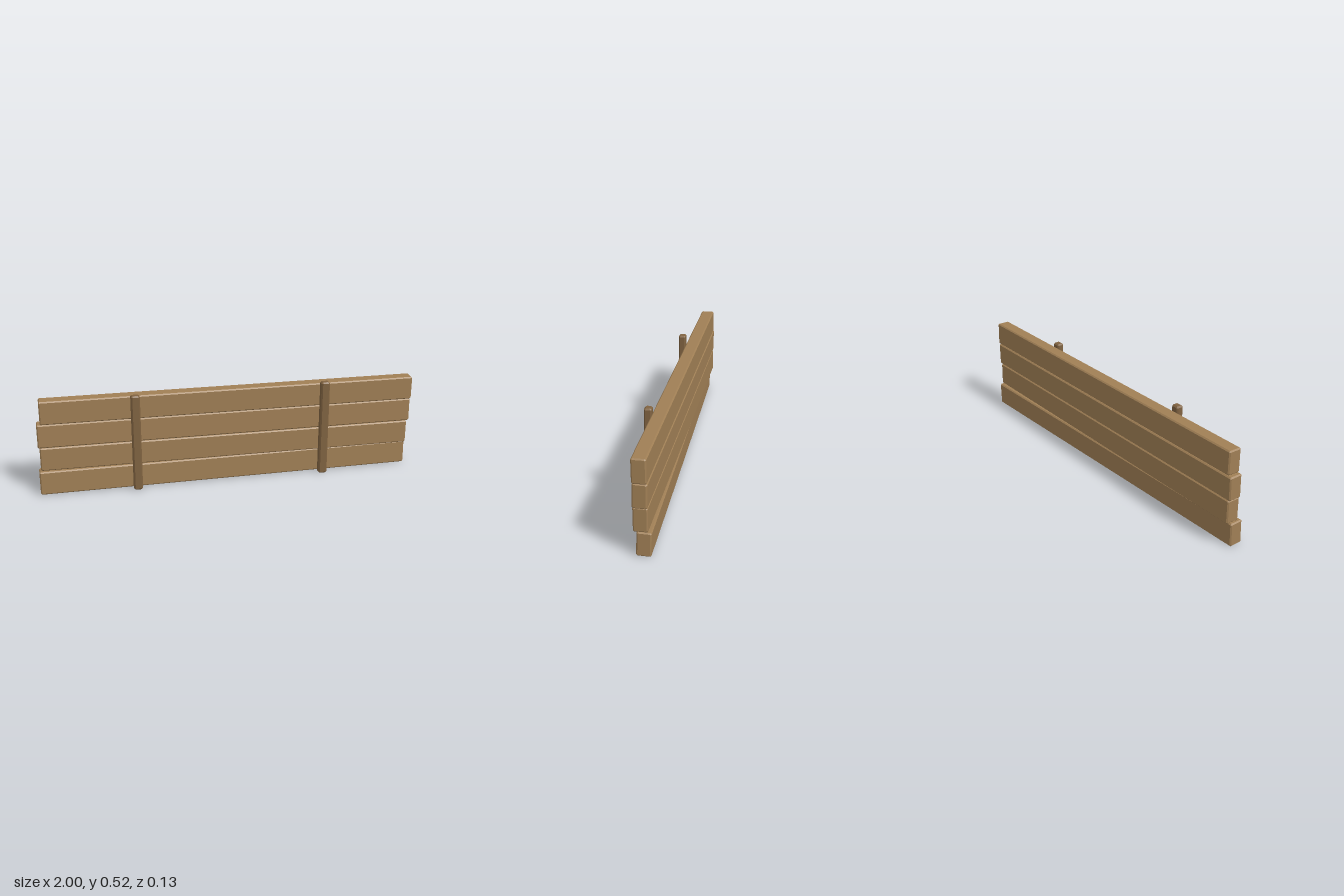
import * as THREE from 'three';

// Timber with chamfered edges, its length along z, centred on the origin
function timber(w, h, length, c) {
  const x = w / 2, y = h / 2;
  const shape = new THREE.Shape([
    [x - c, -y], [x, -y + c], [x, y - c], [x - c, y],
    [-x + c, y], [-x, y - c], [-x, -y + c], [-x + c, -y],
  ].map(([px, py]) => new THREE.Vector2(px, py)));
  const geometry = new THREE.ExtrudeGeometry(shape, {
    depth: length - 2 * c, bevelEnabled: true, bevelSegments: 1,
    bevelThickness: c, bevelSize: c, bevelOffset: -c,
  });
  return geometry.translate(0, 0, c - length / 2);
}

export function createModel() {
  const group = new THREE.Group();
  const plankWood = new THREE.MeshStandardMaterial({ color: 0xa07f55, flatShading: true });
  const battenWood = new THREE.MeshStandardMaterial({ color: 0x806341, flatShading: true });

  // Four stacked planks, each slightly shifted and skewed: [x0, x1, y, z, yaw, tilt]
  const planks = [
    [-1.0, 0.98, 0.066, -0.015, 0.005, -0.025],
    [-0.99, 0.98, 0.191, -0.0175, -0.0125, 0.008],
    [-0.998, 0.992, 0.316, -0.0182, -0.0125, -0.015],
    [-0.98, 0.997, 0.441, -0.0172, -0.0125, 0.012],
  ];
  planks.forEach(([x0, x1, y, z, yaw, tilt], i) => {
    const geometry = timber(0.07, 0.124, x1 - x0, 0.006).rotateY(Math.PI / 2);
    const plank = new THREE.Mesh(geometry, plankWood);
    plank.name = `plank${i + 1}`;
    plank.position.set((x0 + x1) / 2, y, z);
    plank.rotation.set(tilt, yaw, 0);
    group.add(plank);
  });

  // Two upright battens across the front
  for (const side of [-1, 1]) {
    const geometry = timber(0.046, 0.038, 0.517, 0.007).rotateX(-Math.PI / 2);
    const batten = new THREE.Mesh(geometry, battenWood);
    batten.name = side > 0 ? 'leftBatten' : 'rightBatten';
    batten.position.set(side * 0.5, 0.2605, 0.047);
    batten.rotation.x = 0.003;
    group.add(batten);
  }
  return group;
}
